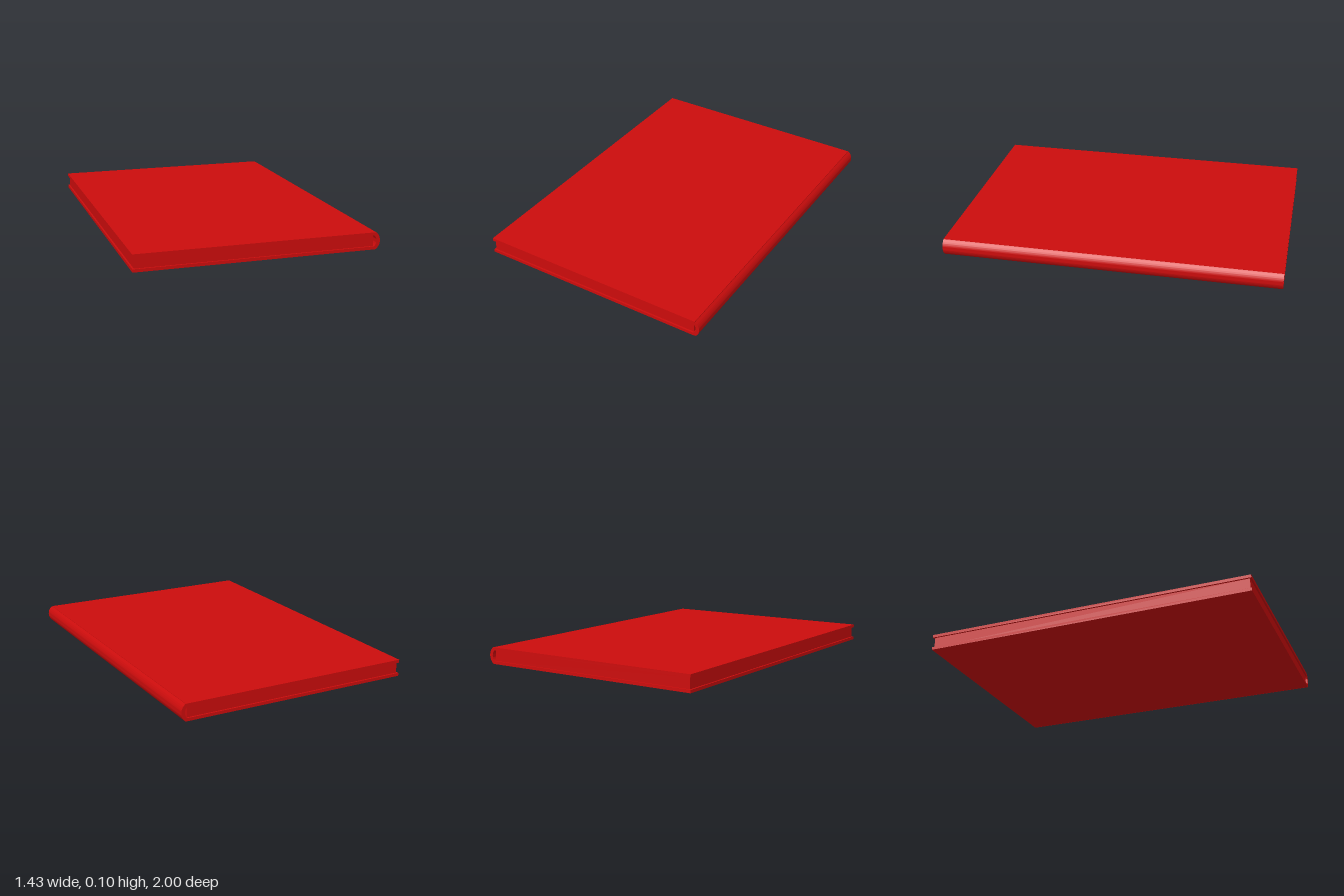
import * as THREE from 'three';
import { toCreasedNormals } from 'three/addons/utils/BufferGeometryUtils.js';

const HEIGHT = 0.1, COVER = 0.018, LENGTH = 2;

export function createModel() {
  const book = new THREE.Group();
  book.name = 'book';
  const red = new THREE.MeshStandardMaterial({ color: 0xcc0c0c });

  const add = (name, geometry, x, y, z) => {
    const mesh = new THREE.Mesh(geometry, red);
    mesh.name = name;
    mesh.position.set(x, y, z);
    book.add(mesh);
  };
  const slab = (name, x0, x1, y0, y1, length) =>
    add(name, new THREE.BoxGeometry(x1 - x0, y1 - y0, length), (x0 + x1) / 2, (y0 + y1) / 2, 0);

  // Two hard covers overhanging the page block
  slab('backCover', -0.715, 0.685, 0, COVER, LENGTH);
  slab('frontCover', -0.715, 0.685, HEIGHT - COVER, HEIGHT, LENGTH);
  slab('pages', -0.705, 0.675, COVER, HEIGHT - COVER, LENGTH - 0.02);

  // Rounded hollow spine joining the covers, leaving a gap behind the pages
  const outerR = 0.062, innerR = 0.041;
  const outerA = Math.asin(HEIGHT / 2 / outerR);
  const innerA = Math.asin((HEIGHT / 2 - COVER) / innerR);
  const profile = new THREE.Shape();
  profile.absarc(0, 0, outerR, -outerA, outerA, false);
  profile.absarc(0, 0, innerR, innerA, -innerA, true);
  const spine = new THREE.ExtrudeGeometry(profile, { depth: LENGTH, bevelEnabled: false, curveSegments: 24 });
  add('spine', toCreasedNormals(spine, 0.5), 0.651, HEIGHT / 2, -LENGTH / 2);

  return book;
}
